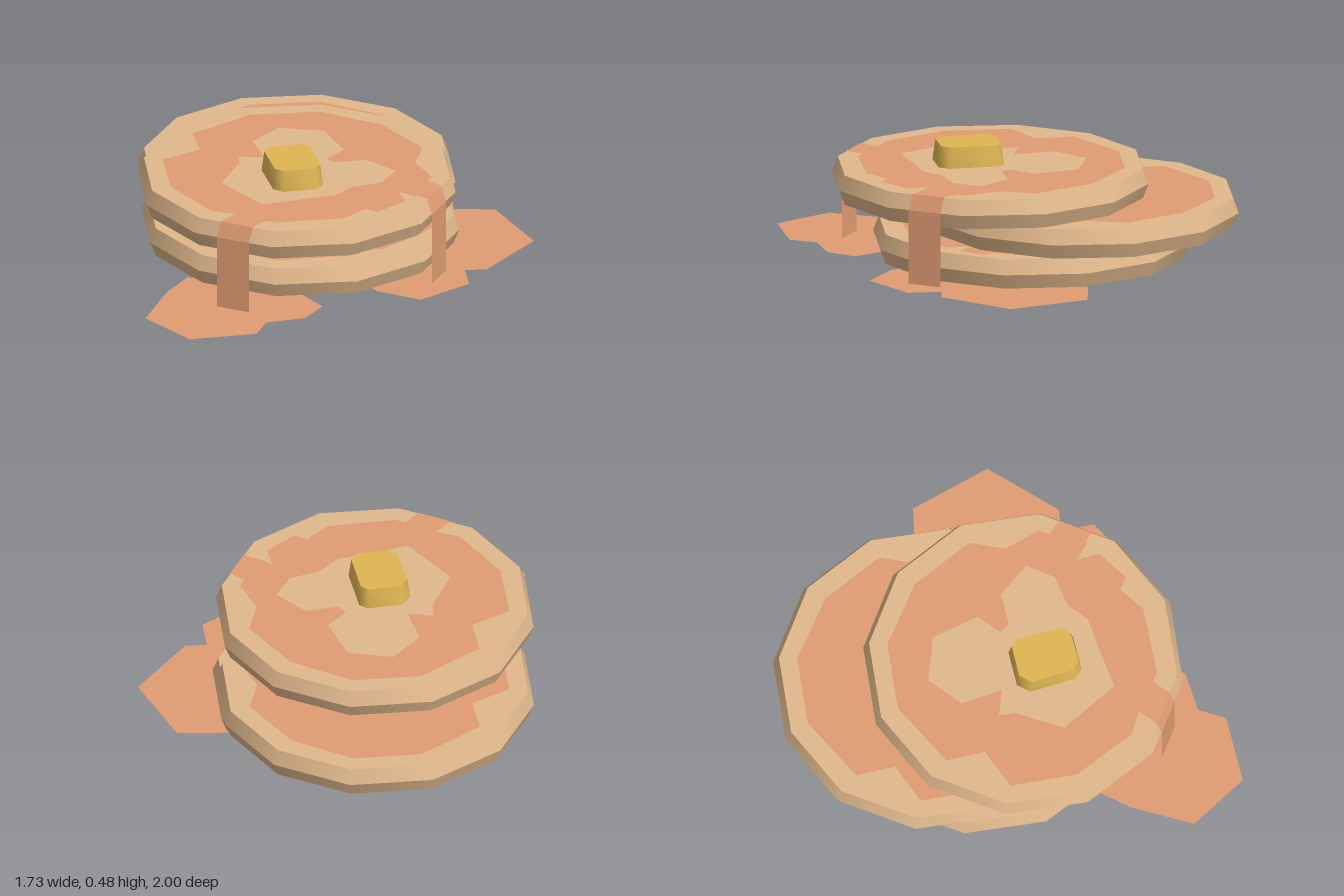
import * as THREE from 'three';
import { toCreasedNormals } from 'three/addons/utils/BufferGeometryUtils.js';

const R_RIM = 0.665, R_MID = 0.69, H = 0.129, BASE = 0.003, LIFT = 0.002;
const SIDES = 12;

const batter = new THREE.MeshStandardMaterial({ color: 0xe0b88c });
const syrup = new THREE.MeshStandardMaterial({ color: 0xe09c72, side: THREE.DoubleSide });
const butterMat = new THREE.MeshStandardMaterial({ color: 0xdfb653 });

// Syrup outline, relative to a pancake's centre, as [x, z]
const POOL = [
  [0, -0.575], [0.29, -0.5], [0.36, -0.36], [0.51, -0.29], [0.53, -0.23], [0.58, -0.22],
  [0.59, -0.09], [0.5, -0.08], [0.58, -0.02], [0.56, 0.14], [0.5, 0.15], [0.49, 0.28],
  [0.29, 0.5], [0.22, 0.52], [0.08, 0.55], [0, 0.58], [-0.29, 0.5], [-0.5, 0.3],
  [-0.44, 0.12], [-0.57, 0.01], [-0.5, -0.3], [-0.29, -0.51],
];
// Bare patch in the middle of the top pool
const PATCH = [
  [-0.15, -0.37], [0.04, -0.27], [0.04, -0.15], [0.09, -0.14], [0.18, -0.25], [0.35, -0.24],
  [0.38, -0.11], [0.31, 0.01], [0.31, 0.12], [0.26, 0.19], [0.13, 0.39], [-0.15, 0.33],
  [-0.22, 0.12], [-0.27, 0.07], [-0.17, 0.01], [-0.32, -0.09], [-0.32, -0.27],
];
const FRONT_PUDDLE = [
  [-0.09, 0.68], [0.01, 0.945], [0.295, 0.995], [0.48, 0.77], [0.44, 0.65], [0.54, 0.51],
  [0.52, 0.37], [0.245, 0.295], [-0.12, 0.5],
];
const BACK_PUDDLE = [
  [0.31, -0.76], [0.46, -0.88], [0.795, -0.73], [0.825, -0.37], [0.755, -0.31], [0.86, -0.21],
  [0.805, 0.05], [0.6, 0.1], [0.3, 0], [0.2, -0.63],
];

const toVectors = (pts) => pts.map(([x, z]) => new THREE.Vector2(x, -z));

function add(parent, name, geometry, material, y = 0) {
  const mesh = new THREE.Mesh(geometry, material);
  mesh.name = name;
  mesh.position.y = y;
  parent.add(mesh);
  return mesh;
}

// Flat sheet lying on the xz plane, facing up
function sheet(outline, hole) {
  const shape = new THREE.Shape(toVectors(outline));
  if (hole) shape.holes.push(new THREE.Path(toVectors(hole)));
  return new THREE.ShapeGeometry(shape).rotateX(-Math.PI / 2);
}

// Twelve-sided pancake with a bulging rim and a browned underside
function pancake(name, x, y, z, hole) {
  const g = new THREE.Group();
  g.name = name;
  g.position.set(x, y, z);
  const half = H / 2;
  add(g, 'upperRim', new THREE.CylinderGeometry(R_RIM, R_MID, half, SIDES, 1, true), batter, H - half / 2);
  add(g, 'lowerRim', new THREE.CylinderGeometry(R_MID, R_RIM, half, SIDES, 1, true), batter, half / 2);
  const disc = (r, up) => new THREE.CircleGeometry(r, SIDES).rotateX(up ? -Math.PI / 2 : Math.PI / 2);
  add(g, 'topFace', disc(R_RIM, true), batter, H);
  add(g, 'bottomFace', disc(R_RIM, false), batter);
  add(g, 'brownedUnderside', disc(0.58, false), syrup, -LIFT);
  add(g, 'syrupPool', sheet(POOL, hole), syrup, H + LIFT);
  return g;
}

// Syrup strip that follows one facet over the rim, then falls to the ground
function drip(top) {
  const rows = [[0.56, top + LIFT], [R_RIM + LIFT, top + LIFT], [R_MID + LIFT, top - H / 2], [R_MID + LIFT, 0]];
  const slope = Math.tan(Math.PI / SIDES);
  const pos = [];
  for (let i = 0; i < rows.length - 1; i++) {
    const corner = (row, x) => [x, row[1], row[0] - x * slope];
    const a = corner(rows[i], 0.1), b = corner(rows[i], 0.245);
    const c = corner(rows[i + 1], 0.1), d = corner(rows[i + 1], 0.245);
    pos.push(...a, ...c, ...b, ...b, ...c, ...d);
  }
  const geo = new THREE.BufferGeometry();
  geo.setAttribute('position', new THREE.Float32BufferAttribute(pos, 3));
  geo.computeVertexNormals();
  return geo;
}

// Butter pat: chamfered block, narrower at the top
function butterPat() {
  const outline = [
    [-0.06, -0.15], [-0.015, -0.153], [0.153, -0.018], [0.16, 0.035],
    [0.068, 0.148], [0.015, 0.153], [-0.148, 0.032], [-0.158, -0.033],
  ];
  const height = 0.095;
  const geo = new THREE.ExtrudeGeometry(new THREE.Shape(toVectors(outline)), { depth: height, bevelEnabled: false });
  geo.rotateX(-Math.PI / 2);
  const p = geo.attributes.position;
  for (let i = 0; i < p.count; i++) {
    const s = 1 - 0.09 * (p.getY(i) / height);
    p.setX(i, p.getX(i) * s);
    p.setZ(i, p.getZ(i) * s);
  }
  return toCreasedNormals(geo, 1.0);
}

export function createModel() {
  const model = new THREE.Group();
  model.name = 'pancakeStack';

  // Stack of three, each shifted
  model.add(pancake('bottomPancake', -0.03, BASE, -0.157));
  model.add(pancake('middlePancake', -0.175, BASE + H, -0.31));
  const top = pancake('topPancake', 0.07, BASE + 2 * H, -0.01, PATCH);
  model.add(top);

  // Two drips, a quarter turn apart
  const drips = new THREE.Group();
  drips.name = 'syrupDrips';
  drips.position.set(0.07, 0, -0.01);
  ['frontDrip', 'leftDrip'].forEach((name, i) => {
    add(drips, name, drip(BASE + 3 * H), syrup).rotation.y = i * Math.PI / 2;
  });
  model.add(drips);

  // Puddles on the ground
  add(model, 'frontPuddle', sheet(FRONT_PUDDLE), syrup);
  add(model, 'backPuddle', sheet(BACK_PUDDLE), syrup);

  // Butter on top
  add(model, 'butter', butterPat(), butterMat, BASE + 3 * H - 0.004).position.setX(0.115).setZ(0.073);
  return model;
}
